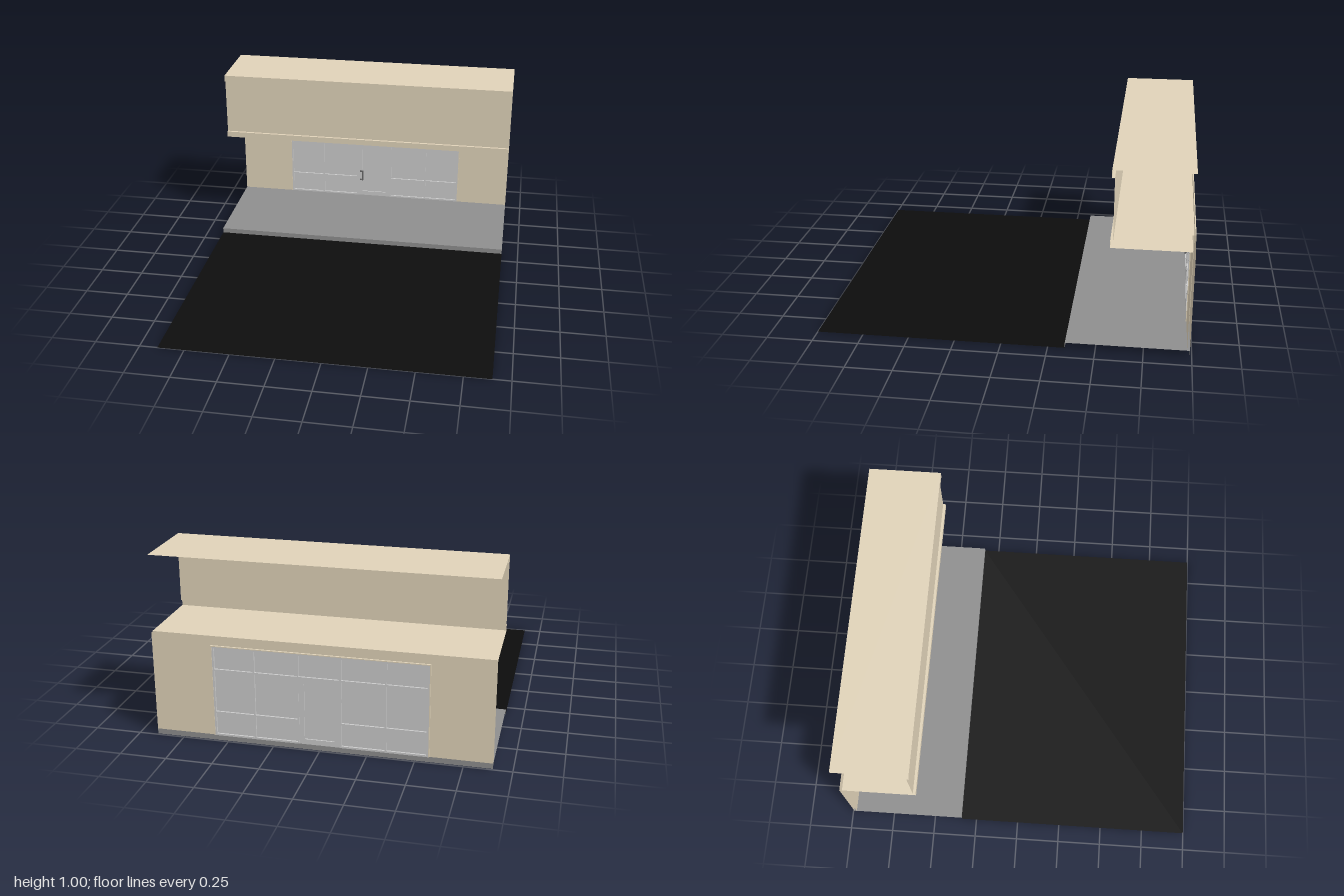
import * as THREE from 'three';

const HALF = 0.9; // half width of the whole facade

const mat = (color) => new THREE.MeshStandardMaterial({ color, side: THREE.DoubleSide });

// Open sheet: a (z, y) profile swept straight along x, with hard corners
function sheet(profile) {
  const pos = [];
  for (let i = 0; i < profile.length - 1; i++) {
    const [z0, y0] = profile[i], [z1, y1] = profile[i + 1];
    pos.push(-HALF, y0, z0, -HALF, y1, z1, HALF, y1, z1);
    pos.push(-HALF, y0, z0, HALF, y1, z1, HALF, y0, z0);
  }
  const geo = new THREE.BufferGeometry();
  geo.setAttribute('position', new THREE.Float32BufferAttribute(pos, 3));
  geo.computeVertexNormals();
  return geo;
}

export function createModel() {
  const model = new THREE.Group();
  model.name = 'storefront';
  const tan = mat(0xe0d3b9), grey = mat(0xcccccc), concrete = mat(0x8e8e8e);
  const asphalt = mat(0x0d0d0d), metal = mat(0x666666);

  const add = (parent, name, geo, material) => {
    const mesh = new THREE.Mesh(geo, material);
    mesh.name = name;
    parent.add(mesh);
    return mesh;
  };
  // Box given by its limits
  const box = (parent, name, material, x0, x1, y0, y1, z0, z1) => {
    const mesh = add(parent, name, new THREE.BoxGeometry(x1 - x0, y1 - y0, z1 - z0), material);
    mesh.position.set((x0 + x1) / 2, (y0 + y1) / 2, (z0 + z1) / 2);
    return mesh;
  };
  const group = (name) => {
    const g = new THREE.Group();
    g.name = name;
    model.add(g);
    return g;
  };

  // Road and raised pavement
  add(model, 'road', sheet([[1, 0], [-0.34, 0]]), asphalt);
  add(model, 'pavement', sheet([[-0.34, 0], [-0.34, 0.03], [-0.99, 0.03], [-0.99, 0]]), concrete);

  // Roof, parapet with two projecting trims, and soffit
  add(model, 'canopy', sheet([
    [-0.975, 1], [-0.56, 1], [-0.56, 0.96], [-0.575, 0.96],
    [-0.575, 0.62], [-0.56, 0.62], [-0.56, 0.585], [-0.975, 0.585],
  ]), tan);

  // Inner and outer wall skins around the window opening
  const wall = new THREE.Shape([
    [-HALF, 0.03], [-0.575, 0.03], [-0.575, 0.54], [0.575, 0.54],
    [0.575, 0.03], [HALF, 0.03], [HALF, 0.585], [-HALF, 0.585],
  ].map(([x, y]) => new THREE.Vector2(x, y)));
  for (const [name, z] of [['frontWall', -0.975], ['backWall', -0.99]]) {
    add(model, name, new THREE.ShapeGeometry(wall), tan).position.z = z;
  }

  // Tan lining of the opening
  const lining = group('openingLining');
  for (const s of [-1, 1]) {
    box(lining, 'liningSide', tan, s * 0.5725 - 0.0025, s * 0.5725 + 0.0025, 0.031, 0.54, -1, -0.97);
  }
  box(lining, 'liningTop', tan, -0.575, 0.575, 0.535, 0.54, -1, -0.97);

  // Window grid: mullions, rails and recessed panes
  const windows = group('windows');
  const columns = [-0.565, -0.3475, -0.1125, 0.1125, 0.3475, 0.565];
  const rows = [0.036, 0.165, 0.405, 0.53];
  const B = 0.005; // half width of a bar
  for (const x of columns) box(windows, 'mullion', grey, x - B, x + B, 0.031, 0.535, -0.998, -0.972);
  for (let c = 0; c < 5; c++) {
    const x0 = columns[c] + B, x1 = columns[c + 1] - B;
    rows.forEach((y, r) => {
      if (c === 2 && r < 2) return; // the door fills the lower middle bay
      box(windows, 'rail', grey, x0, x1, y - B, y + B, -0.998, -0.972);
      if (r < 3) box(windows, 'pane', grey, x0, x1, y + B, rows[r + 1] - B, -0.988, -0.982);
    });
  }

  // Door leaf with a recessed panel
  const door = group('door');
  const D = 0.1075;
  for (const s of [-1, 1]) {
    box(door, 'doorStile', grey, Math.min(s * D, s * 0.08), Math.max(s * D, s * 0.08), 0.031, 0.4, -0.995, -0.975);
  }
  box(door, 'doorBottomRail', grey, -0.08, 0.08, 0.031, 0.06, -0.995, -0.975);
  box(door, 'doorTopRail', grey, -0.08, 0.08, 0.372, 0.4, -0.995, -0.975);
  box(door, 'doorPanel', grey, -0.08, 0.08, 0.06, 0.372, -0.988, -0.982);

  // Bracket shaped pull handle
  const handle = group('doorHandle');
  box(handle, 'handleGrip', metal, -0.081, -0.074, 0.147, 0.217, -0.969, -0.962);
  for (const y of [0.147, 0.21]) {
    box(handle, 'handleArm', metal, -0.096, -0.081, y, y + 0.007, -0.969, -0.962);
    box(handle, 'handleMount', metal, -0.096, -0.089, y, y + 0.007, -0.976, -0.969);
  }
  return model;
}
